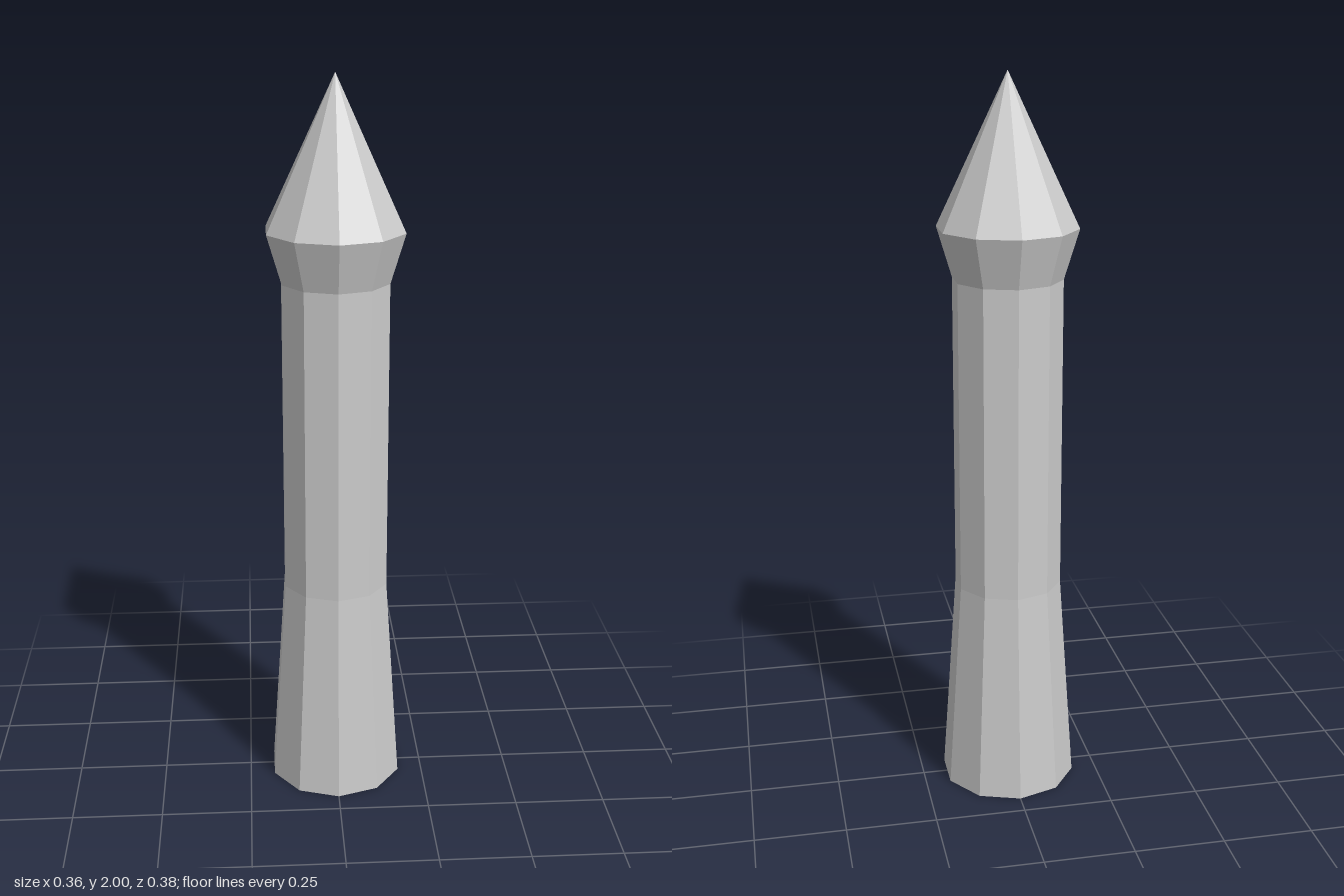
import * as THREE from 'three';

const SIDES = 10;

export function createModel() {
  const model = new THREE.Group();
  model.name = 'spikedPost';
  const material = new THREE.MeshStandardMaterial({ color: 0xcccccc, flatShading: true });

  // One ten-sided section between two heights, without end caps
  function section(name, y0, r0, y1, r1) {
    const geometry = new THREE.CylinderGeometry(r1, r0, y1 - y0, SIDES, 1, true);
    const mesh = new THREE.Mesh(geometry, material);
    mesh.name = name;
    mesh.position.y = (y0 + y1) / 2;
    model.add(mesh);
  }

  section('flaredBase', 0, 0.19, 0.6, 0.149);
  section('shaft', 0.6, 0.149, 1.465, 0.149);
  section('collar', 1.465, 0.149, 1.6, 0.19);
  section('pointedTip', 1.6, 0.19, 2, 0);

  // Underside, with corners aligned to the sections (one on the z axis)
  const underside = new THREE.Mesh(new THREE.CircleGeometry(0.19, SIDES, Math.PI / 2), material);
  underside.name = 'underside';
  underside.rotation.x = Math.PI / 2;
  model.add(underside);

  return model;
}
